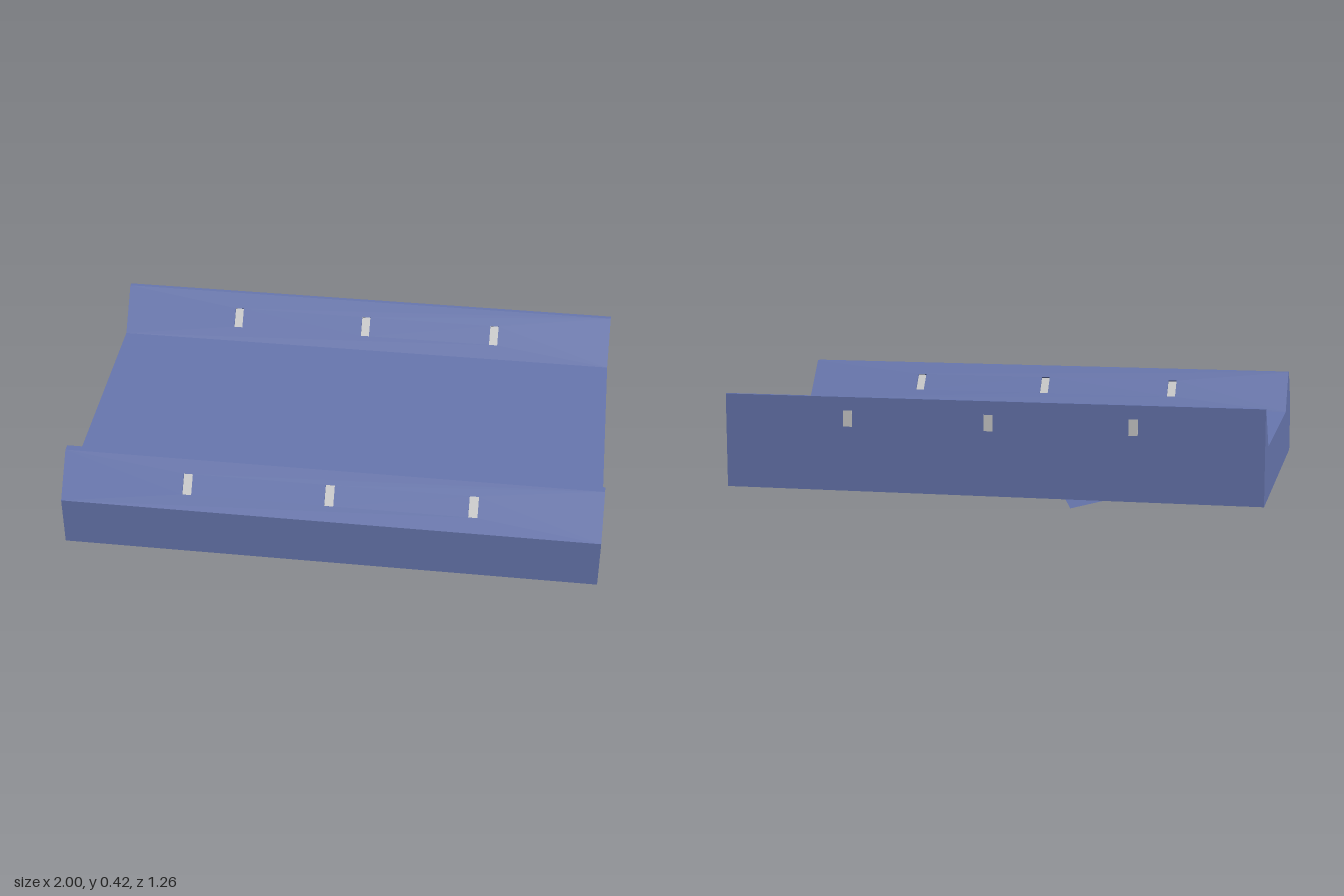
import * as THREE from 'three';

const blue = new THREE.MeshStandardMaterial({ color: 0x6776ae });
const blueThin = new THREE.MeshStandardMaterial({ color: 0x6776ae, side: THREE.DoubleSide });
const grey = new THREE.MeshStandardMaterial({ color: 0xcccccc });

const SLOT_X = [-0.53, 0, 0.53];
const SLOT_W = 0.034, SLOT_LOW = 0.31, SLOT_HIGH = 0.37, RECESS = 0.01;

// The three slopes as [z, y] end points, ordered front to back
const slopes = [
  { name: 'frontOuterSlope', from: [0.63, 0.265], to: [0.51, 0.412] },
  { name: 'frontInnerSlope', from: [0.483, 0.412], to: [0.37, 0.265] },
  { name: 'rearSlope', from: [-0.487, 0.265], to: [-0.615, 0.42] },
];

function addMesh(parent, name, geometry, material) {
  const mesh = new THREE.Mesh(geometry, material);
  mesh.name = name;
  parent.add(mesh);
  return mesh;
}

// Point of a slope moved inward by the recess depth
function inset([z, y], s) {
  const dz = s.to[0] - s.from[0], dy = s.to[1] - s.from[1], len = Math.hypot(dz, dy);
  return [z - (dy / len) * RECESS, y + (dz / len) * RECESS];
}

function rect(path, x0, y0, x1, y1) {
  path.moveTo(x0, y0);
  path.lineTo(x1, y0);
  path.lineTo(x1, y1);
  path.lineTo(x0, y1);
  path.closePath();
  return path;
}

// Slope plate with three openings and grey panels at their bottom
function slopePlate(s) {
  const group = new THREE.Group();
  group.name = s.name;
  const start = inset(s.from, s);
  const dy = s.to[1] - s.from[1];
  const len = Math.hypot(s.to[0] - s.from[0], dy);
  const [v0, v1] = [SLOT_LOW, SLOT_HIGH].map(y => (y - s.from[1]) / dy * len).sort((a, b) => a - b);

  const shape = rect(new THREE.Shape(), -1, 0, 1, len);
  for (const x of SLOT_X) {
    shape.holes.push(rect(new THREE.Path(), x - SLOT_W / 2, v0, x + SLOT_W / 2, v1));
    const panel = addMesh(group, 'slotPanel', new THREE.BoxGeometry(SLOT_W, v1 - v0, 0.004), grey);
    panel.position.set(x, (v0 + v1) / 2, 0.001);
  }
  addMesh(group, 'plate', new THREE.ExtrudeGeometry(shape, { depth: RECESS, bevelEnabled: false }), blue);

  const along = new THREE.Vector3(0, dy, s.to[0] - s.from[0]).normalize();
  const right = new THREE.Vector3(1, 0, 0);
  const out = right.clone().cross(along);
  group.quaternion.setFromRotationMatrix(new THREE.Matrix4().makeBasis(right, along, out));
  group.position.set(0, start[1], start[0]);
  return group;
}

function triangle(a, b, c) {
  const g = new THREE.BufferGeometry();
  g.setAttribute('position', new THREE.Float32BufferAttribute([...a, ...b, ...c], 3));
  g.computeVertexNormals();
  return g;
}

export function createModel() {
  const model = new THREE.Group();
  model.name = 'trough';

  // Solid body: cross-section swept along x, set back under the slopes
  const section = [[0.63, 0.07]];
  for (const s of slopes) section.push(s.from, inset(s.from, s), inset(s.to, s), s.to);
  section.push([-0.63, 0.42], [-0.63, 0.07]);
  const shape = new THREE.Shape(section.map(([z, y]) => new THREE.Vector2(-z, y)));
  const body = new THREE.ExtrudeGeometry(shape, { depth: 2, bevelEnabled: false });
  body.translate(0, 0, -1).rotateY(Math.PI / 2);
  addMesh(model, 'body', body, blue);

  for (const s of slopes) model.add(slopePlate(s));

  // Grey panels on the back wall and narrow seams under the floor
  for (const x of SLOT_X) {
    addMesh(model, 'backPanel', new THREE.BoxGeometry(SLOT_W, 0.06, 0.004), grey)
      .position.set(x, 0.34, -0.629);
    addMesh(model, 'floorSeam', new THREE.BoxGeometry(0.01, 0.004, 0.78), grey)
      .position.set(x, 0.071, -0.055);
  }

  // Two flaps folded down below the floor, meeting at one point
  const tip = [-0.13, 0.07, -0.11];
  const flap = z => [[-0.53, 0.07, z], [-0.27, 0, z]];
  const [frontRoot, frontCorner] = flap(0.335);
  const [rearRoot, rearCorner] = flap(-0.445);
  addMesh(model, 'frontFlap', triangle(frontRoot, frontCorner, tip), blueThin);
  addMesh(model, 'rearFlapUnderside', triangle(rearRoot, tip, rearCorner), blue);
  addMesh(model, 'rearFlapInside', triangle(rearRoot, rearCorner, tip), grey);

  return model;
}
